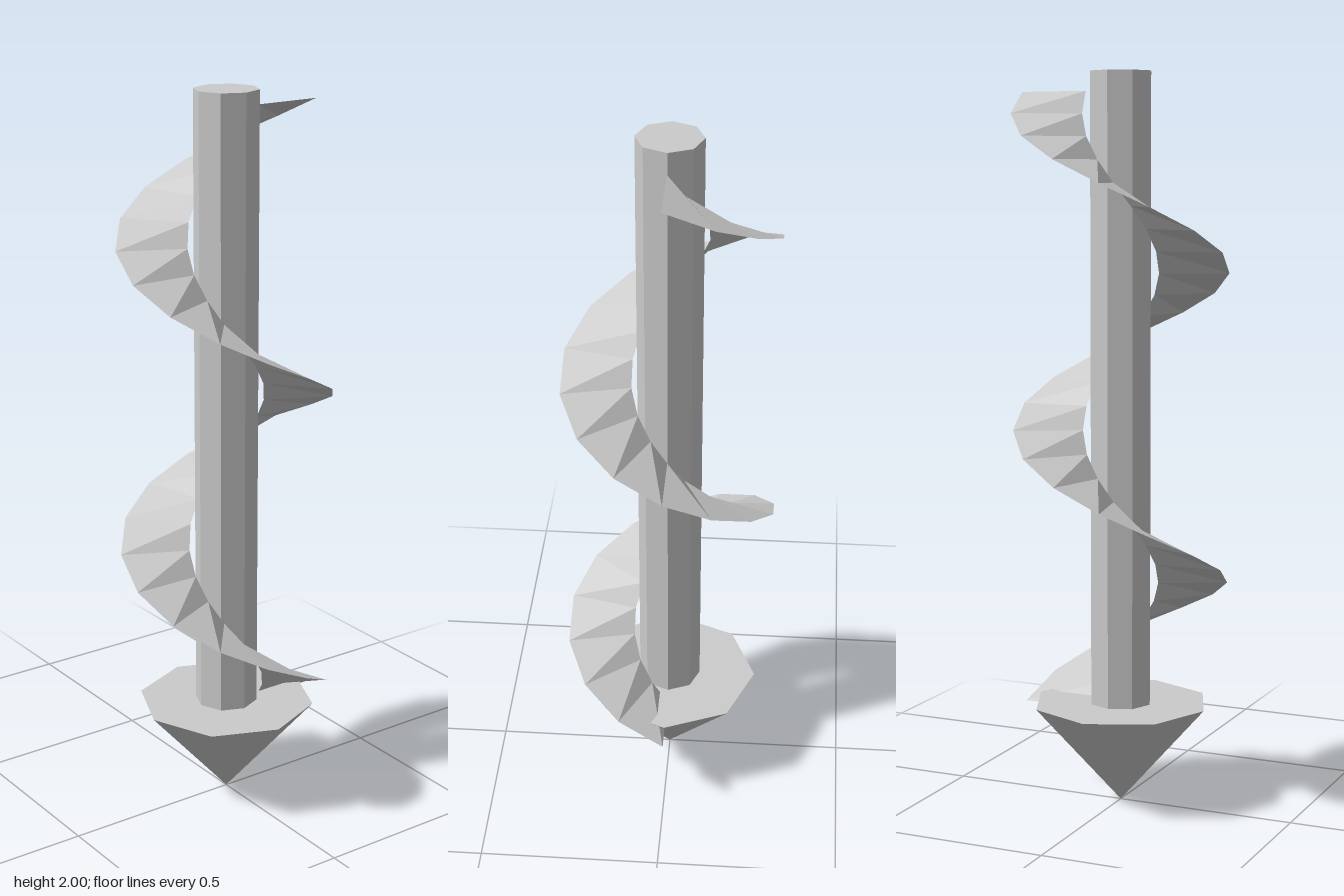
import * as THREE from 'three';

const TURNS = 2, SIDES = 14, BOTTOM = 0.25, TOP = 1.95;
const INNER = 0.103, OUTER = 0.293;

// Helical ribbon: one inner and one outer point per step
function flightGeometry() {
  const steps = TURNS * SIDES, pos = [], index = [];
  for (let i = 0; i <= steps; i++) {
    const a = (i / SIDES) * Math.PI * 2;
    const y = BOTTOM + (TOP - BOTTOM) * i / steps;
    for (const r of [INNER, OUTER]) pos.push(r * Math.cos(a), y, r * Math.sin(a));
    if (i < steps) {
      const k = i * 2;
      index.push(k, k + 2, k + 1, k + 1, k + 2, k + 3);
    }
  }
  const geo = new THREE.BufferGeometry();
  geo.setAttribute('position', new THREE.Float32BufferAttribute(pos, 3));
  geo.setIndex(index);
  geo.computeVertexNormals();
  return geo;
}

export function createModel() {
  const group = new THREE.Group();
  const grey = new THREE.MeshStandardMaterial({ color: 0xcccccc, flatShading: true });
  const thin = new THREE.MeshStandardMaterial({ color: 0xcccccc, flatShading: true, side: THREE.DoubleSide });
  const add = (name, geo, mat, y = 0) => {
    const mesh = new THREE.Mesh(geo, mat);
    mesh.name = name;
    mesh.position.y = y;
    group.add(mesh);
  };

  // Octagonal shaft, standing on the tip's flat top
  add('shaft', new THREE.CylinderGeometry(0.087, 0.087, 1.74, 8), grey, 1.13);
  // Downward-pointing drill tip
  add('tip', new THREE.ConeGeometry(0.247, 0.28, 8).rotateX(Math.PI), grey, 0.14);
  // Screw flight winding up around the shaft
  add('flight', flightGeometry(), thin);
  return group;
}
